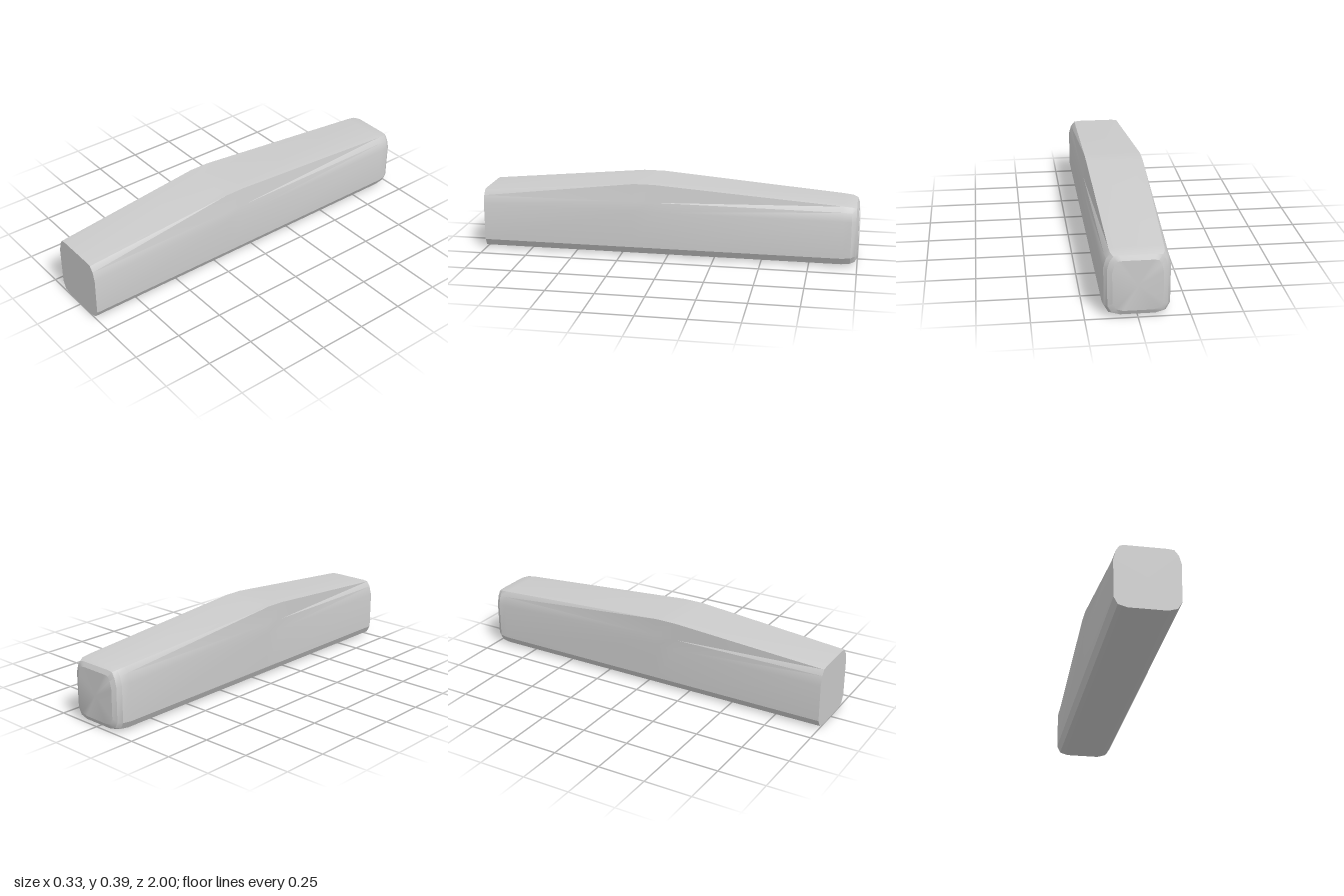
import * as THREE from 'three';
import { toCreasedNormals } from 'three/addons/utils/BufferGeometryUtils.js';

// Rounded section at the ends, counter-clockwise seen from the front
const endSection = [
  [-0.095, 0], [0.095, 0], [0.14, 0.013], [0.162, 0.05], [0.164, 0.25], [0.151, 0.295], [0.13, 0.322],
  [0.1, 0.326], [-0.1, 0.326], [-0.13, 0.322], [-0.148, 0.295], [-0.161, 0.245], [-0.16, 0.05], [-0.14, 0.013],
];

// Taller section at the crest, with sharp upper corners
const crestSection = [
  ...endSection.slice(0, 5), [0.156, 0.3], [0.141, 0.393], [0.1, 0.393],
  [-0.1, 0.393], [-0.165, 0.393], [-0.165, 0.3], [-0.165, 0.245], ...endSection.slice(12),
];

// Section drawn in towards its middle, for the rounded back end
function shrink(section, sx, sy) {
  return section.map(([x, y]) => [x * sx, 0.163 + (y - 0.163) * sy]);
}

// Skin a row of sections and close both ends with fans
function loft(rings) {
  const positions = [];
  const n = rings[0].section.length;
  const points = rings.map(({ z, section }) => section.map(([x, y]) => [x, y, z]));
  const tri = (a, b, c) => positions.push(...a, ...b, ...c);
  for (let r = 0; r < points.length - 1; r++) {
    const p = points[r], q = points[r + 1];
    for (let i = 0; i < n; i++) {
      const j = (i + 1) % n;
      tri(p[i], q[i], q[j]);
      tri(p[i], q[j], p[j]);
    }
  }
  const front = points[0], back = points[points.length - 1];
  for (let i = 0; i < n; i++) {
    const j = (i + 1) % n;
    tri([0, 0.163, rings[0].z], front[i], front[j]);
    tri([0, 0.163, rings[rings.length - 1].z], back[j], back[i]);
  }
  const geometry = new THREE.BufferGeometry();
  geometry.setAttribute('position', new THREE.Float32BufferAttribute(positions, 3));
  return toCreasedNormals(geometry, THREE.MathUtils.degToRad(25));
}

export function createModel() {
  const group = new THREE.Group();
  group.name = 'peakedBar';

  // Long body: flat front, crest ahead of the middle, rounded back
  const body = new THREE.Mesh(
    loft([
      { z: 1, section: endSection },
      { z: 0.18, section: crestSection },
      { z: 0.07, section: crestSection },
      { z: -0.92, section: endSection },
      { z: -0.965, section: shrink(endSection, 0.97, 0.97) },
      { z: -0.988, section: shrink(endSection, 0.88, 0.92) },
      { z: -1, section: shrink(endSection, 0.74, 0.78) },
    ]),
    new THREE.MeshStandardMaterial({ color: 0xcccccc }),
  );
  body.name = 'body';
  group.add(body);
  return group;
}
